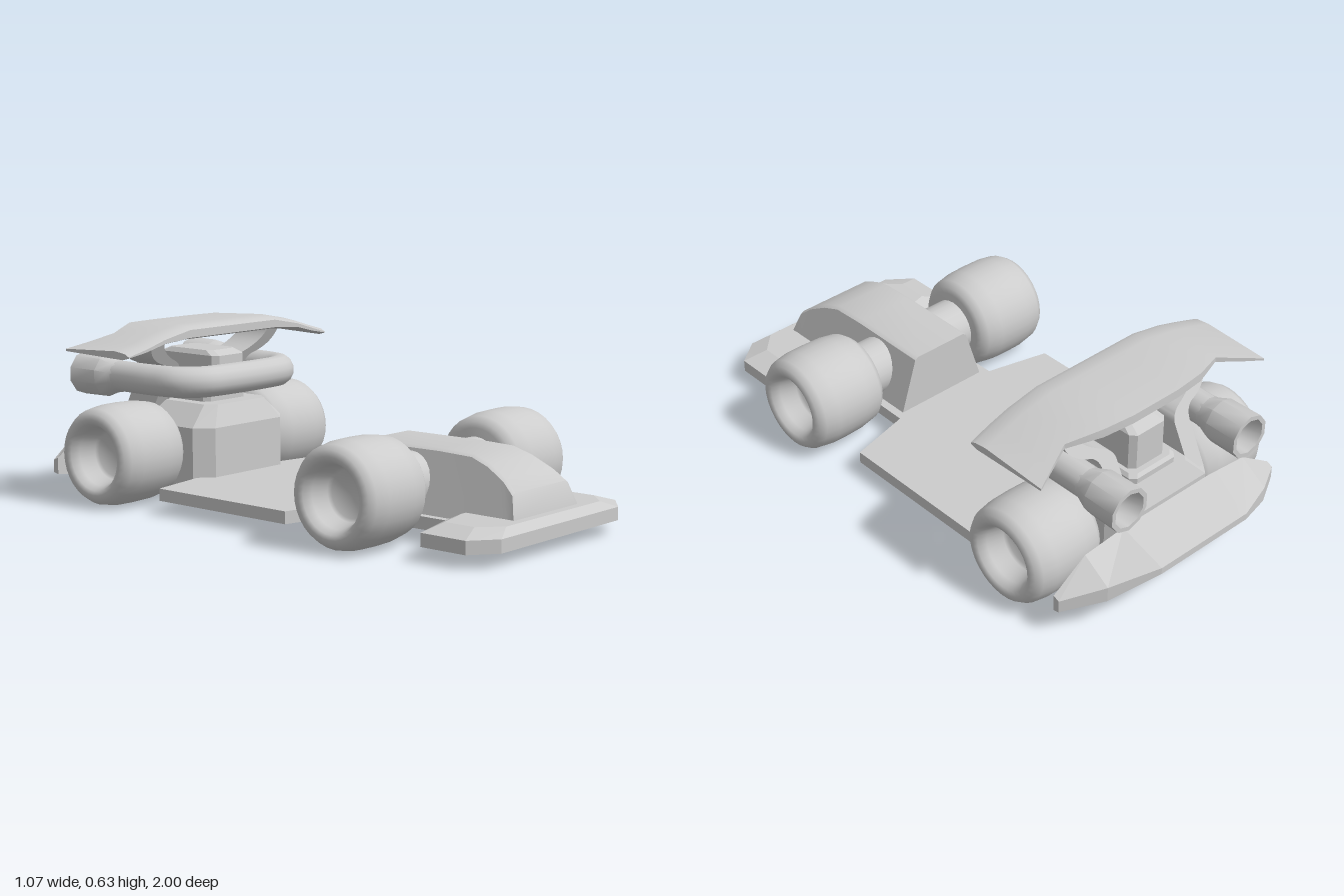
import * as THREE from 'three';
import { toCreasedNormals } from 'three/addons/utils/BufferGeometryUtils.js';

const grey = new THREE.MeshStandardMaterial({ color: 0xcccccc, side: THREE.DoubleSide });
grey.name = 'light grey';

// Joins convex rings of equal length into a closed solid; faces end up outward.
function loft(rings, crease = 0.1) {
  const n = rings[0].length, pos = rings.flat(2), tris = [];
  for (let r = 0; r < rings.length - 1; r++)
    for (let i = 0; i < n; i++) {
      const a = r * n + i, b = r * n + (i + 1) % n;
      tris.push([a, b, b + n], [a, b + n, a + n]);
    }
  const last = (rings.length - 1) * n;
  for (let i = 1; i < n - 1; i++) tris.push([0, i + 1, i], [last, last + i, last + i + 1]);
  const v = i => new THREE.Vector3().fromArray(pos, i * 3);
  const volume = tris.reduce((s, [a, b, c]) => s + v(a).dot(v(b).cross(v(c))), 0);
  if (volume < 0) tris.forEach(t => t.reverse());
  const g = new THREE.BufferGeometry();
  g.setAttribute('position', new THREE.Float32BufferAttribute(pos, 3));
  g.setIndex(tris.flat());
  return toCreasedNormals(g, crease);
}

// Mirrors the +x half of an [x, z] outline and lifts it to height y.
const ring = (half, y) => [
  ...half.map(([x, z]) => [x, y, z]),
  ...half.slice().reverse().map(([x, z]) => [-x, y, z]),
];

// Mirrors stations that run outwards along +x into a full span.
const span = (stations, section) => [
  ...stations.slice().reverse().map(s => section([-s[0], ...s.slice(1)])),
  ...stations.map(section),
];

export function createModel() {
  const car = new THREE.Group();
  car.name = 'racingKart';
  const add = (name, geometry, x = 0, y = 0, z = 0) => {
    const m = new THREE.Mesh(geometry, grey);
    m.name = name;
    m.position.set(x, y, z);
    car.add(m);
    return m;
  };

  // Flat floor, wide amidships and narrow between the wheels
  const floorHalf = [[0.21, 0.8], [0.215, 0.27], [0.445, 0.215], [0.445, -0.37], [0.22, -0.41], [0.2, -0.84]];
  const outline = [...floorHalf, ...floorHalf.slice().reverse().map(([x, z]) => [-x, z])];
  const floor = new THREE.ExtrudeGeometry(
    new THREE.Shape(outline.map(([x, z]) => new THREE.Vector2(x, -z))), { depth: 0.043, bevelEnabled: false });
  floor.rotateX(-Math.PI / 2);
  add('floor', floor, 0, 0.05);

  // Front bumper with a bevelled top
  const bumper = [[0.325, 1], [0.415, 0.93], [0.415, 0.755], [0.215, 0.7]];
  const bumperTop = [[0.26, 0.97], [0.33, 0.9], [0.33, 0.785], [0.2, 0.75]];
  add('frontBumper', loft([ring(bumper, 0.05), ring(bumper, 0.095), ring(bumperTop, 0.12)]));

  // Nose: trapezoid sections falling away towards the front
  const nose = [[0.29, 0.3], [0.6, 0.302], [0.73, 0.298], [0.8, 0.275], [0.87, 0.238], [0.915, 0.2], [0.94, 0.12]];
  add('nose', loft(nose.map(([z, y]) => {
    const w = 0.18 - (y - 0.12) / 3;
    return [[0.185, 0.09, z], [w, y - 0.008, z], [w - 0.015, y, z],
      [0.015 - w, y, z], [-w, y - 0.008, z], [-0.185, 0.09, z]];
  }), 0.6));

  // Engine cover with chamfered corners and a bevelled top
  const engine = [[0.17, -0.365], [0.23, -0.42], [0.23, -0.77], [0.19, -0.82]];
  const engineTop = [[0.12, -0.4], [0.15, -0.44], [0.15, -0.75], [0.12, -0.79]];
  add('engineCover', loft([ring(engine, 0.05), ring(engine, 0.27), ring(engineTop, 0.345)]));

  // Intake stack on the engine cover
  const block = (x, z0, z1, c) => [[x - c, z0], [x, z0 - c], [x, z1 + c], [x - c, z1]];
  add('intakeBase', loft([ring(block(0.105, -0.47, -0.77, 0.02), 0.34),
    ring(block(0.105, -0.47, -0.77, 0.02), 0.365), ring(block(0.095, -0.48, -0.76, 0.02), 0.376)]));
  add('intake', loft([ring(block(0.08, -0.45, -0.74, 0.02), 0.37),
    ring(block(0.08, -0.45, -0.74, 0.02), 0.51), ring(block(0.068, -0.49, -0.7, 0.02), 0.527)]));

  // Wheels: rounded tyre with a deep dished hub, plus thick axle stubs
  const tyre = [[0, 0.43], [0.08, 0.43], [0.09, 0.44], [0.104, 0.5], [0.118, 0.528], [0.134, 0.535], [0.155, 0.528],
    [0.17, 0.505], [0.179, 0.45], [0.18, 0.39], [0.178, 0.32], [0.168, 0.26], [0.15, 0.237], [0.13, 0.23], [0, 0.23]];
  const wheelGeo = toCreasedNormals(new THREE.LatheGeometry(
    tyre.map(([r, h]) => new THREE.Vector2(r, h)).reverse(), 32), 0.9);
  const axleGeo = new THREE.CylinderGeometry(0.1, 0.1, 0.5, 24);
  axleGeo.rotateZ(Math.PI / 2);
  for (const [end, z] of [['front', 0.485], ['rear', -0.61]]) {
    add(end + 'Axle', axleGeo, 0, 0.184, z);
    for (const [side, s] of [['Left', 1], ['Right', -1]])
      add(end + side + 'Wheel', wheelGeo, 0, 0.184, z).rotation.z = -s * Math.PI / 2;
  }

  // Exhaust: one pipe looped round the front of the engine
  const halfPath = [[0.12, -0.39], [0.2, -0.405], [0.258, -0.46], [0.275, -0.55], [0.277, -0.74]];
  const path = [...halfPath.slice().reverse().map(([x, z]) => new THREE.Vector3(-x, 0.435, z)),
    ...halfPath.map(([x, z]) => new THREE.Vector3(x, 0.435, z))];
  add('exhaustPipe', new THREE.TubeGeometry(new THREE.CatmullRomCurve3(path, false, 'centripetal'), 56, 0.056, 14));

  // Flared open tailpipes
  const bell = [[0.055, 0], [0.06, 0.03], [0.078, 0.075], [0.08, 0.2], [0.064, 0.2], [0.058, 0.1], [0, 0.08]];
  const bellGeo = toCreasedNormals(new THREE.LatheGeometry(
    bell.map(([r, h]) => new THREE.Vector2(r, h)), 10), 0.7);
  bellGeo.rotateX(-Math.PI / 2);
  for (const [side, s] of [['left', 1], ['right', -1]]) add(side + 'Tailpipe', bellGeo, s * 0.277, 0.433, -0.72);

  // Curved wing struts, leaning back towards their feet
  for (const [side, s] of [['left', 1], ['right', -1]]) {
    const shape = new THREE.Shape();
    shape.moveTo(s * 0.135, 0.29);
    shape.lineTo(s * 0.135, 0.45);
    shape.quadraticCurveTo(s * 0.14, 0.48, s * 0.18, 0.497);
    shape.quadraticCurveTo(s * 0.26, 0.53, s * 0.27, 0.585);
    shape.lineTo(s * 0.325, 0.575);
    shape.quadraticCurveTo(s * 0.32, 0.51, s * 0.23, 0.485);
    shape.quadraticCurveTo(s * 0.2, 0.47, s * 0.2, 0.43);
    shape.lineTo(s * 0.2, 0.29);
    const g = new THREE.ExtrudeGeometry(shape, { depth: 0.14, bevelEnabled: false, curveSegments: 8 });
    const p = g.attributes.position;
    for (let i = 0; i < p.count; i++) p.setZ(i, p.getZ(i) - 0.66 - (0.57 - p.getY(i)) * 0.5);
    add(side + 'WingStrut', toCreasedNormals(g, 0.6));
  }

  // Top wing: x, rear z, top y, bottom y
  const wing = [[0.1, -0.757, 0.635, 0.583], [0.22, -0.745, 0.635, 0.583], [0.345, -0.695, 0.611, 0.573],
    [0.43, -0.73, 0.586, 0.552], [0.51, -0.765, 0.565, 0.537]];
  add('topWing', loft(span(wing, ([x, zB, t, b]) => {
    const f = -0.435 - Math.max(0, Math.abs(x) - 0.42) * 0.1;
    return [[x, t, f - 0.07], [x, t - 0.006, f - 0.02], [x, t - 0.016, f], [x, b + 0.008, f],
      [x, b, f - 0.03], [x, b + 0.008, zB], [x, t - 0.012, zB]];
  }), 0.7));

  // Rear bumper: swept ends; x, rear z, front top y, rear top y, rear bottom y, front bottom y
  const tail = [[0.2, -1, 0.26, 0.203, 0.178, 0.07], [0.37, -0.93, 0.245, 0.175, 0.12, 0.08],
    [0.505, -0.848, 0.155, 0.145, 0.1, 0.095]];
  add('rearBumper', loft(span(tail, ([x, zB, ft, rt, rb, fb]) =>
    [[x, ft, -0.825], [x, rt, zB], [x, rb, zB], [x, fb, -0.825]])));

  return car;
}
